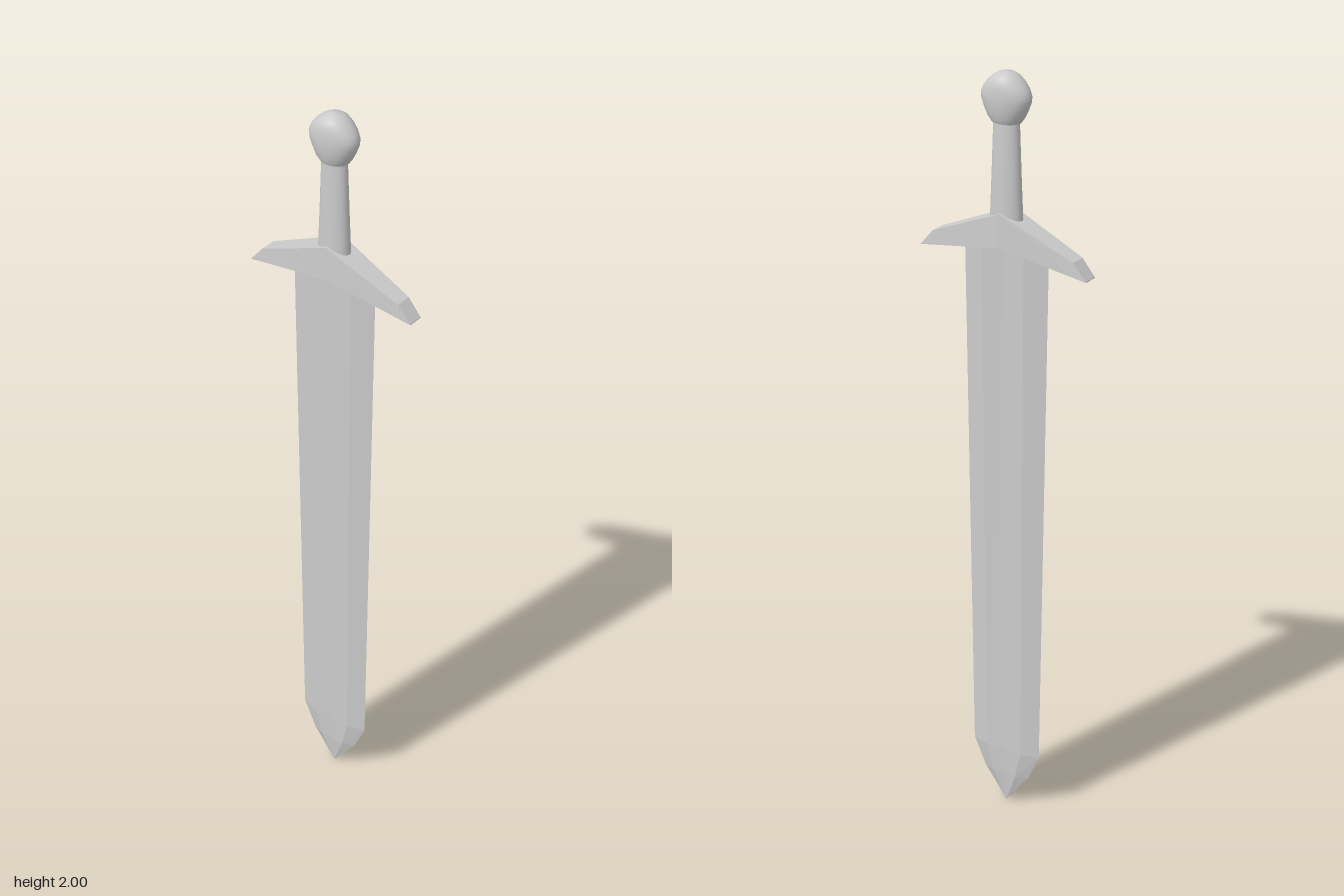
import * as THREE from 'three';

// Skin a list of equal-length rings of [x, y, z] points, closing both ends
function loft(name, rings, flat) {
  const n = rings[0].length, pos = rings.flat(2), idx = [];
  for (let i = 0; i < rings.length - 1; i++) {
    for (let j = 0; j < n; j++) {
      const a = i * n + j, b = i * n + (j + 1) % n;
      idx.push(a, a + n, b, b, a + n, b + n);
    }
  }
  // End caps use their own vertices so the rims stay crisp
  const addCap = (ring, reverse) => {
    const s = pos.length / 3;
    pos.push(...ring.flat());
    for (let j = 1; j < n - 1; j++) {
      idx.push(s, ...(reverse ? [s + j + 1, s + j] : [s + j, s + j + 1]));
    }
  };
  addCap(rings[0], false);
  addCap(rings[rings.length - 1], true);
  const geo = new THREE.BufferGeometry();
  geo.setAttribute('position', new THREE.Float32BufferAttribute(pos, 3));
  geo.setIndex(idx);
  geo.computeVertexNormals();
  const mesh = new THREE.Mesh(geo, new THREE.MeshStandardMaterial({ color: 0xcccccc, flatShading: flat }));
  mesh.name = name;
  return mesh;
}

// Elliptical ring at height y with half-widths rx and rz
const ellipse = (y, rx, rz, n = 32) => Array.from({ length: n }, (_, i) => {
  const a = (i / n) * Math.PI * 2;
  return [rx * Math.cos(a), y, rz * Math.sin(a)];
});

// Blade section: sharp edges, two ridges and a shallow fuller on each face
const bladeRing = (y, w, t, ridge) => [
  [t * 0.75, y, 0], [t, y, ridge], [0, y, w], [-t, y, ridge],
  [-t * 0.75, y, 0], [-t, y, -ridge], [0, y, -w], [t, y, -ridge],
];

// Guard section at depth z
const guardRing = (z, top, bottom, wTop, wBottom) => [
  [wTop, top, z], [wBottom, bottom, z], [-wBottom, bottom, z], [-wTop, top, z],
];

export function createModel() {
  const sword = new THREE.Group();
  sword.name = 'sword';

  // Blade, point down
  sword.add(loft('blade', [
    bladeRing(0.005, 0.001, 0.001, 0.0005),
    bladeRing(0.09, 0.066, 0.011, 0.033),
    bladeRing(0.165, 0.1, 0.014, 0.052),
    bladeRing(1.6, 0.12, 0.018, 0.06),
  ], true));

  // Swept guard with chisel-shaped ends
  sword.add(loft('guard', [
    guardRing(-0.235, 1.531, 1.529, 0.02, 0.02),
    guardRing(-0.2, 1.572, 1.536, 0.021, 0.023),
    guardRing(0, 1.657, 1.572, 0.034, 0.038),
    guardRing(0.2, 1.572, 1.536, 0.021, 0.023),
    guardRing(0.235, 1.531, 1.529, 0.02, 0.02),
  ], true));

  // Grip, tapering toward the pommel
  sword.add(loft('grip', [
    ellipse(1.61, 0.028, 0.045),
    ellipse(1.75, 0.025, 0.039),
    ellipse(1.89, 0.022, 0.034),
  ], false));

  // Flattened, rounded pommel
  const pommelProfile = [
    [1.878, 0.03, 0.038], [1.89, 0.036, 0.047], [1.91, 0.04, 0.057],
    [1.93, 0.042, 0.065], [1.945, 0.042, 0.066], [1.96, 0.041, 0.06],
    [1.975, 0.039, 0.048], [1.988, 0.032, 0.034], [1.996, 0.021, 0.02],
    [2.0, 0.002, 0.002],
  ];
  sword.add(loft('pommel', pommelProfile.map(([y, rx, rz]) => ellipse(y, rx, rz)), false));

  return sword;
}
